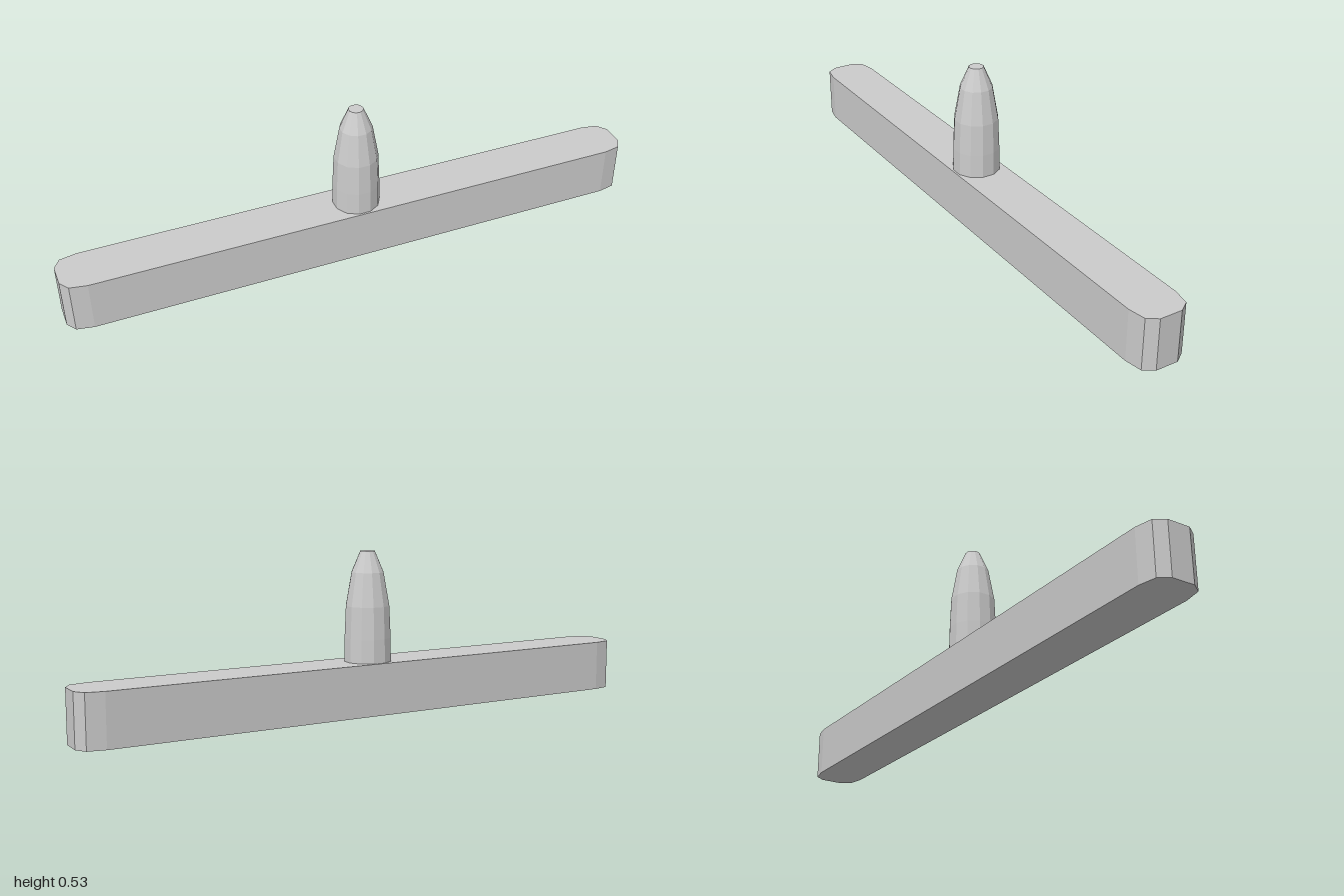
import * as THREE from 'three';

export function createModel() {
  const model = new THREE.Group();
  const material = new THREE.MeshStandardMaterial({ color: 0xcccccc, flatShading: true });
  const barTop = 0.172;

  // Long bar with faceted rounded ends: one corner mirrored into four
  const corner = [[1, 0.038], [0.977, 0.072], [0.92, 0.083]];
  const mirror = (sx, sz) => corner.map(([x, z]) => new THREE.Vector2(x * sx, z * sz));
  const outline = [
    ...mirror(1, 1), ...mirror(-1, 1).reverse(),
    ...mirror(-1, -1), ...mirror(1, -1).reverse(),
  ];
  const barGeometry = new THREE.ExtrudeGeometry(new THREE.Shape(outline), { depth: barTop, bevelEnabled: false });
  barGeometry.rotateX(-Math.PI / 2);
  const bar = new THREE.Mesh(barGeometry, material);
  bar.name = 'bar';
  model.add(bar);

  // Twelve-sided tapered peg with a flat tip
  const profile = [
    [0, barTop], [0.079, barTop], [0.078, 0.25], [0.0735, 0.355],
    [0.054, 0.465], [0.0245, 0.534], [0, 0.534],
  ].map(([r, y]) => new THREE.Vector2(r, y));
  const peg = new THREE.Mesh(new THREE.LatheGeometry(profile, 12, Math.PI / 12), material);
  peg.name = 'peg';
  model.add(peg);

  return model;
}
